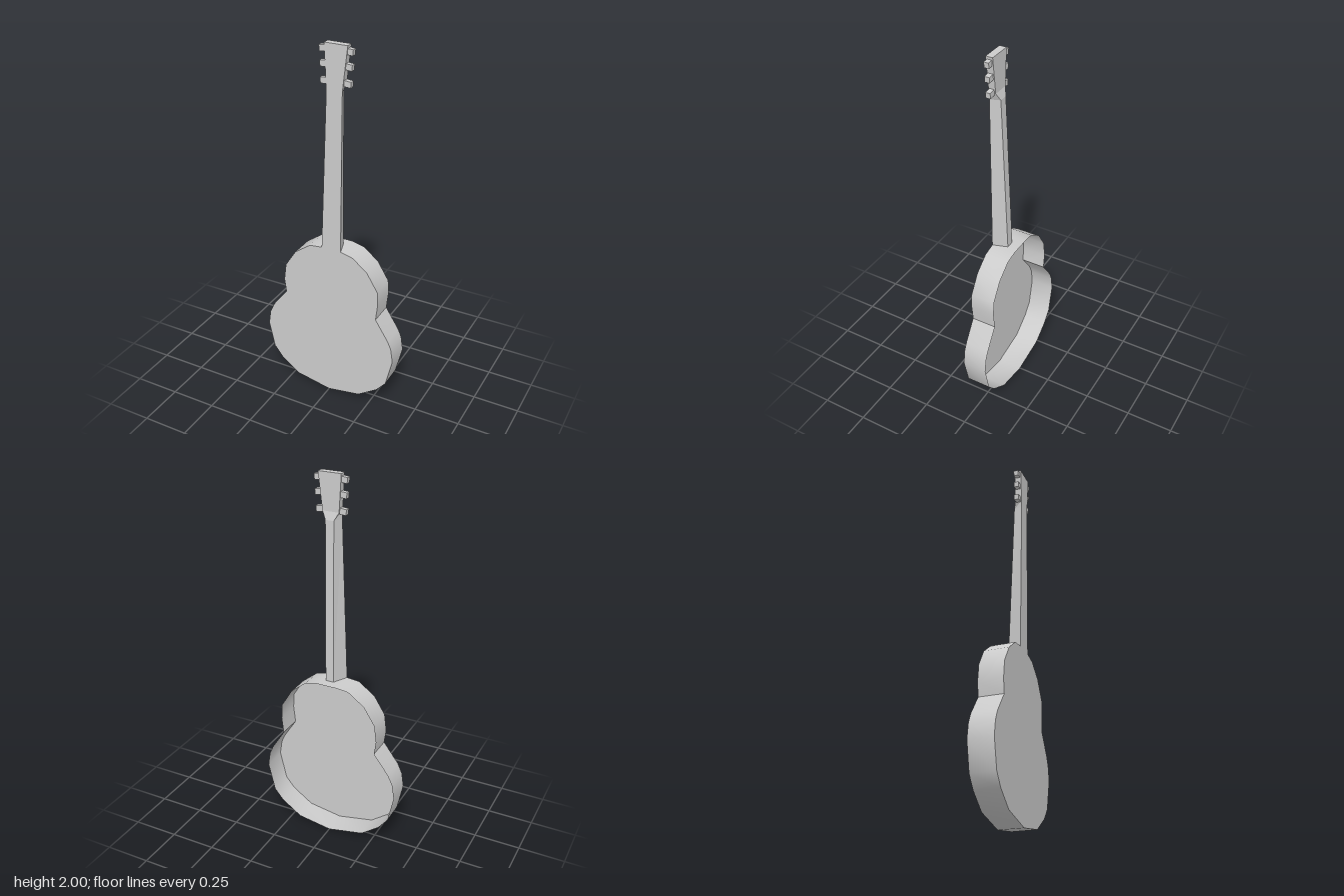
import * as THREE from 'three';
import { toCreasedNormals } from 'three/addons/utils/BufferGeometryUtils.js';

const FRONT = 0.066, BACK = -0.067;

// Body outline, counter-clockwise from the bottom
const OUTLINE = [
  [0, 0], [0.185, 0.03], [0.295, 0.105], [0.345, 0.165], [0.382, 0.32], [0.37, 0.4], [0.35, 0.445],
  [0.277, 0.56], [0.287, 0.65], [0.283, 0.73], [0.222, 0.83], [0.14, 0.895], [0.07, 0.912],
  [-0.04, 0.912], [-0.11, 0.905], [-0.2, 0.84], [-0.26, 0.745], [-0.272, 0.65], [-0.262, 0.575],
  [-0.345, 0.465], [-0.37, 0.41], [-0.382, 0.33], [-0.35, 0.18], [-0.3, 0.115], [-0.2, 0.04],
];

// Joins closed rings of equal length with quads; rings run counter-clockwise seen from the last ring
function loft(rings, capped) {
  const n = rings[0].length, index = [];
  for (let r = 0; r < rings.length - 1; r++) {
    for (let i = 0; i < n; i++) {
      const a = r * n + i, b = r * n + (i + 1) % n;
      index.push(a, b, b + n, a, b + n, a + n);
    }
  }
  if (capped) {
    const top = (rings.length - 1) * n;
    for (let i = 1; i < n - 1; i++) index.push(0, i + 1, i, top, top + i, top + i + 1);
  }
  const geo = new THREE.BufferGeometry();
  geo.setAttribute('position', new THREE.Float32BufferAttribute(rings.flat(2), 3));
  geo.setIndex(index);
  geo.computeVertexNormals();
  return geo;
}

export function createModel() {
  const model = new THREE.Group();
  model.name = 'guitar';
  const shell = new THREE.MeshStandardMaterial({ color: 0xcccccc, side: THREE.DoubleSide });
  const faceted = new THREE.MeshStandardMaterial({ color: 0xcccccc, flatShading: true });

  function add(name, geometry, material, parent = model) {
    const mesh = new THREE.Mesh(geometry, material);
    mesh.name = name;
    parent.add(mesh);
    return mesh;
  }

  // Body: a thin front plate and side wall, open at the back
  const body = new THREE.Group();
  body.name = 'body';
  model.add(body);
  const shape = new THREE.Shape(OUTLINE.map(([x, y]) => new THREE.Vector2(x, y)));
  add('frontPlate', new THREE.ShapeGeometry(shape), shell, body).position.z = FRONT;
  const wall = loft([BACK, FRONT].map((z) => OUTLINE.map(([x, y]) => [x, y, z])), false);
  add('sideWall', toCreasedNormals(wall, 0.6), shell, body);

  // Neck and headstock sections: y, front left/right x, back left/right x, back z
  const section = ([y, f0, f1, b0, b1, z]) => [[f0, y, FRONT], [f1, y, FRONT], [b1, y, z], [b0, y, z]];
  const neckBase = [0.912, -0.04, 0.07, 0, 0.045, -0.013];
  const neckTop = [1.77, -0.009, 0.076, 0.012, 0.058, 0.015];
  const headBase = [1.81, -0.01, 0.08, -0.009, 0.08, 0.029];
  const headTop = [2, -0.02, 0.103, -0.02, 0.103, 0.029];
  add('neck', loft([neckBase, neckTop, headBase].map(section), true), faceted);
  add('headstock', loft([headBase, headTop].map(section), true), faceted);

  // Tuning pegs, three on each side of the headstock
  const pegs = new THREE.Group();
  pegs.name = 'tuningPegs';
  model.add(pegs);
  const pegGeometry = new THREE.BoxGeometry(0.036, 0.03, 0.026);
  for (const [y, leftX, rightX] of [[1.815, 0.1, -0.026], [1.897, 0.105, -0.028], [1.97, 0.109, -0.031]]) {
    for (const [name, x, tilt] of [['leftPeg', leftX, -0.1], ['rightPeg', rightX, 0.1]]) {
      const peg = add(name, pegGeometry, faceted, pegs);
      peg.position.set(x, y, 0.048);
      peg.rotation.z = tilt;
    }
  }
  return model;
}
